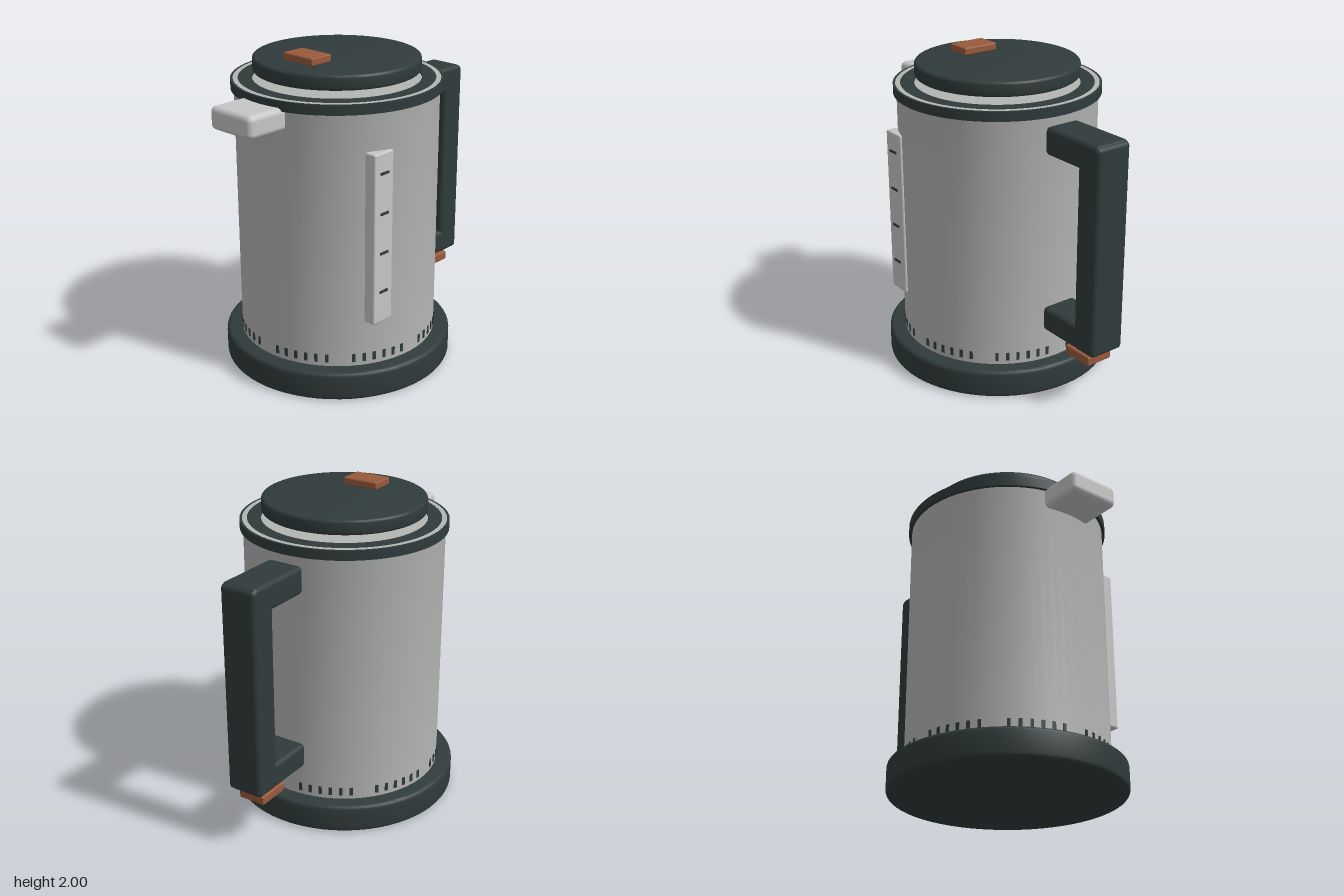
import * as THREE from 'three';
import { toCreasedNormals } from 'three/addons/utils/BufferGeometryUtils.js';
import { RoundedBoxGeometry } from 'three/addons/geometries/RoundedBoxGeometry.js';

const AXIS_X = -0.11; // vertical axis of the jug
const RADIUS = 0.62;

function material(name, color) {
  const m = new THREE.MeshStandardMaterial({ color });
  m.name = name;
  return m;
}

export function createModel() {
  const model = new THREE.Group();
  model.name = 'kettle';
  const dark = material('dark slate', 0x303b3b);
  const steel = material('steel', 0xb4b6b4);
  const pale = material('pale steel', 0xc6c6c6);
  const copper = material('copper', 0x985a3c);

  const add = (name, geometry, mat, parent = model) => {
    const mesh = new THREE.Mesh(geometry, mat);
    mesh.name = name;
    parent.add(mesh);
    return mesh;
  };

  // Turned part about the jug axis; points are [radius, y]
  const turned = (name, points, mat) => {
    const lathe = new THREE.LatheGeometry(points.map(([r, y]) => new THREE.Vector2(r, y)), 64);
    add(name, toCreasedNormals(lathe, 0.5), mat).position.x = AXIS_X;
  };

  // Disc profile with rounded upper and lower edges
  const discProfile = (r, y0, y1, f) => {
    const points = [[0, y0]];
    for (let i = 0; i <= 8; i++) {
      const a = -Math.PI / 2 + (Math.PI * i) / 8;
      if (i === 4) points.push([r, y0 + f], [r, y1 - f]);
      else points.push([r - f + f * Math.cos(a), (i < 4 ? y0 + f : y1 - f) + f * Math.sin(a)]);
    }
    points.push([0, y1]);
    return points;
  };

  // Rounded box given by its extents
  const block = (name, [x0, x1], [y0, y1], [z0, z1], radius, mat, parent) => {
    const mesh = add(name, new RoundedBoxGeometry(x1 - x0, y1 - y0, z1 - z0, 4, radius), mat, parent);
    mesh.position.set((x0 + x1) / 2, (y0 + y1) / 2, (z0 + z1) / 2);
  };

  // Base, jug, rim and lid
  turned('base', discProfile(0.72, 0, 0.18, 0.025), dark);
  turned('body', [[RADIUS, 0.17], [RADIUS, 1.8], [0.625, 1.82], [0.595, 1.82]], steel);
  turned('rim', [[0.61, 1.76], [0.64, 1.76], [0.64, 1.82], [0.625, 1.82]], dark);
  turned('collar', [[0.595, 1.82], [0.51, 1.82], [0.51, 1.81]], dark);
  turned('innerTop', [[0.52, 1.81], [0, 1.81]], steel);
  turned('lid', discProfile(0.507, 1.86, 1.952, 0.018), dark);
  block('lidButton', [-0.44, -0.28], [1.952, 2], [-0.12, 0.12], 0.01, copper);

  // Spout
  block('spout', [-0.97, -0.66], [1.64, 1.78], [-0.17, 0.17], 0.035, pale);

  // Handle with its switch underneath
  const handle = new THREE.Group();
  handle.name = 'handle';
  model.add(handle);
  block('upperArm', [0.5, 0.955], [1.535, 1.707], [-0.12, 0.12], 0.03, dark, handle);
  block('lowerArm', [0.5, 0.955], [0.392, 0.55], [-0.12, 0.12], 0.03, dark, handle);
  block('grip', [0.79, 0.967], [0.39, 1.7], [-0.12, 0.12], 0.03, dark, handle);
  block('switch', [0.69, 0.9], [0.303, 0.362], [-0.09, 0.09], 0.01, copper);

  // Water gauge with level marks
  block('gauge', [-0.44, -0.28], [0.473, 1.535], [0.53, 0.61], 0.012, pale);
  for (let i = 0; i < 4; i++) {
    add('gaugeMark', new THREE.BoxGeometry(0.066, 0.014, 0.009), dark)
      .position.set(-0.36, 0.675 + i * 0.246, 0.6135);
  }

  // Vent slots: eight groups of six around the foot of the jug
  const slot = new THREE.BoxGeometry(0.02, 0.052, 0.009);
  for (let g = 0; g < 8; g++) {
    for (let i = 0; i < 6; i++) {
      const a = THREE.MathUtils.degToRad(g * 45 + 7.5 + i * 6);
      const vent = add('ventSlot', slot, dark);
      vent.position.set(AXIS_X + RADIUS * Math.sin(a), 0.232, RADIUS * Math.cos(a));
      vent.rotation.y = a;
    }
  }
  return model;
}
